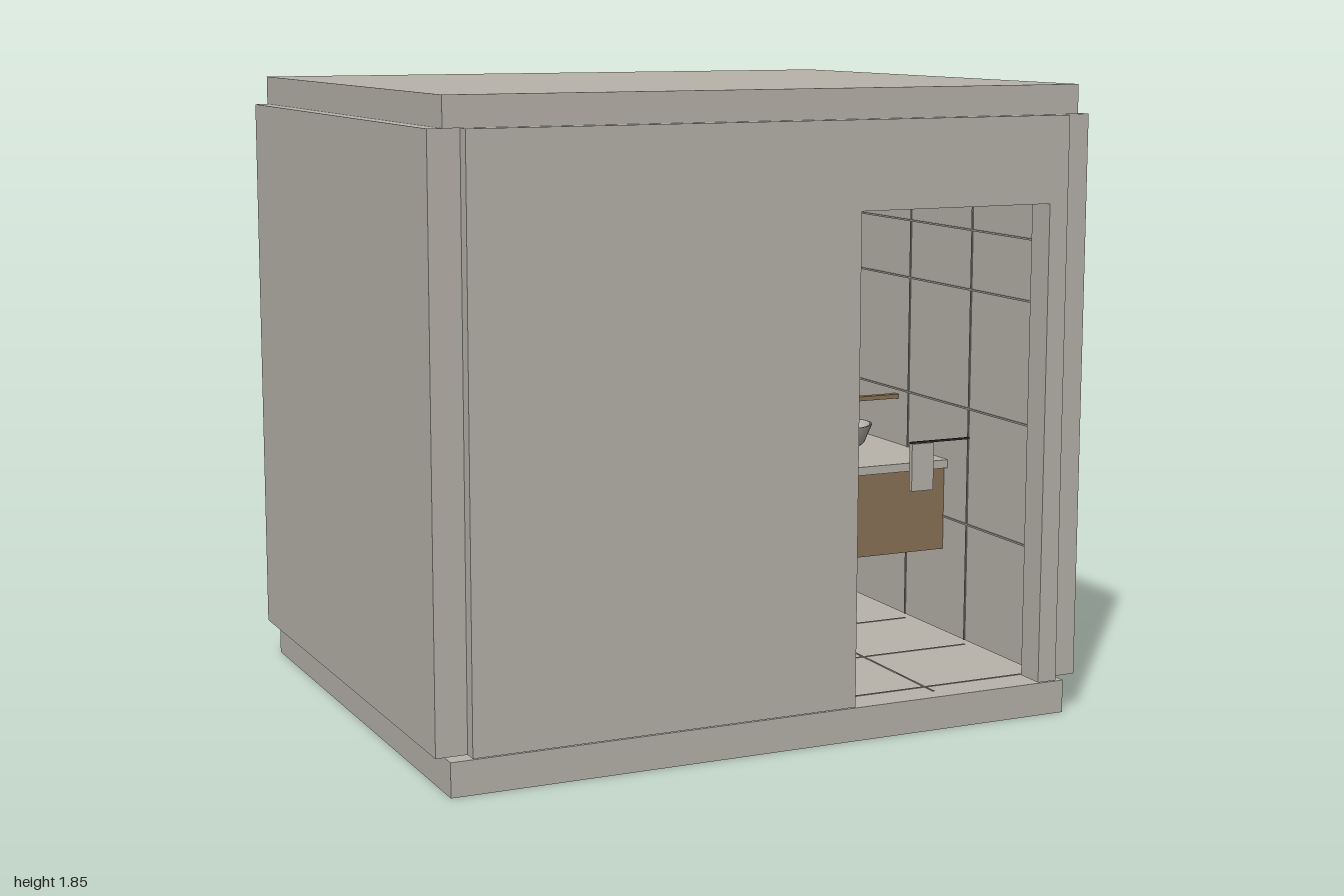
import * as THREE from 'three';

const mat = (name, color) => Object.assign(new THREE.MeshStandardMaterial({ color }), { name });

export function createModel() {
  const model = new THREE.Group();
  model.name = 'bathroomPod';
  const concrete = mat('concrete', 0xb8b4ab);
  const joint = mat('tileJoint', 0x98948c);
  const wood = mat('wood', 0x8b7256);
  const dark = mat('darkMetal', 0x2b2a28);
  const ceramic = mat('ceramic', 0xbab7b0);
  ceramic.side = THREE.DoubleSide;

  const add = (name, geometry, material, parent = model) => {
    const mesh = new THREE.Mesh(geometry, material);
    mesh.name = name;
    parent.add(mesh);
    return mesh;
  };
  // Box given by its lower and upper limits on each axis
  const box = (name, material, x0, x1, y0, y1, z0, z1, parent) => {
    const mesh = add(name, new THREE.BoxGeometry(x1 - x0, y1 - y0, z1 - z0), material, parent);
    mesh.position.set((x0 + x1) / 2, (y0 + y1) / 2, (z0 + z1) / 2);
    return mesh;
  };
  const corners = (x0, x1, y0, y1) => [[x0, y0], [x1, y0], [x1, y1], [x0, y1]].map(p => new THREE.Vector2(...p));

  // Slabs and side walls
  const bottom = 0.112, top = 1.765;
  box('floorSlab', concrete, -0.96, 0.96, 0, 0.098, -0.81, 0.81);
  box('roofSlab', concrete, -0.96, 0.96, top, 1.85, -0.81, 0.81);
  box('leftWall', concrete, 0.91, 1, bottom, top, -0.805, 0.805);
  box('rightWall', concrete, -1, -0.91, bottom, top, -0.805, 0.805);

  // Front wall with its doorway cut up from the bottom edge
  const extrude = shape => new THREE.ExtrudeGeometry(shape, { depth: 0.09, bevelEnabled: false });
  const frontShape = new THREE.Shape([
    [-0.91, bottom], [0.24, bottom], [0.24, 1.515], [0.85, 1.515], [0.85, bottom],
    [0.91, bottom], [0.91, top], [-0.91, top],
  ].map(p => new THREE.Vector2(...p)));
  add('frontWall', extrude(frontShape), concrete).position.z = 0.755;

  // Back wall with a recessed window
  const backShape = new THREE.Shape(corners(-0.91, 0.91, bottom, top));
  backShape.holes.push(new THREE.Path(corners(-0.79, -0.06, 1.2, 1.62).reverse()));
  add('backWall', extrude(backShape), concrete).position.z = -0.845;
  box('windowPane', concrete, -0.79, -0.06, 1.2, 1.62, -0.8, -0.792);

  // Tile joints on the floor and the walls
  const joints = new THREE.Group();
  joints.name = 'tileJoints';
  model.add(joints);
  const w = 0.003;
  for (let i = 1; i < 5; i++) {
    const x = 0.915 - i * 0.365, z = -0.755 + i * 0.365;
    box('floorJointAcross', joint, x - w, x + w, 0.097, 0.0995, -0.755, 0.755, joints);
    if (z < 0.75) {
      box('floorJointAlong', joint, -0.91, 0.91, 0.097, 0.0995, z - w, z + w, joints);
      for (const s of [-1, 1]) {
        box('sideJointUpright', joint, s * 0.909 - 0.002, s * 0.909 + 0.002, bottom, top, z - w, z + w, joints);
      }
    }
    box('backJointUpright', joint, x - w, x + w, bottom, x < -0.06 ? 1.2 : top, -0.757, -0.753, joints);
  }
  for (const y of [0.48, 0.843, 1.212, 1.395]) {
    const x0 = y > 1.2 ? -0.06 : -0.91;
    box('backJointLevel', joint, x0, 0.91, y - w, y + w, -0.757, -0.753, joints);
    for (const s of [-1, 1]) {
      box('sideJointLevel', joint, s * 0.909 - 0.002, s * 0.909 + 0.002, y - w, y + w, -0.755, 0.755, joints);
    }
  }

  // Vanity cabinet, counter and bowl
  const vanity = new THREE.Group();
  vanity.name = 'vanity';
  model.add(vanity);
  const vz = -0.1;
  box('cabinet', wood, 0.547, 0.91, 0.375, 0.635, vz - 0.3, vz + 0.3, vanity);
  for (const s of [-1, 1]) {
    const c = vz + s * 0.149;
    box('cabinetDoor', wood, 0.531, 0.547, 0.39, 0.622, c - 0.145, c + 0.145, vanity);
  }
  box('counter', concrete, 0.52, 0.91, 0.638, 0.664, vz - 0.32, vz + 0.32, vanity);
  const bowl = [[0, 0], [0.07, 0], [0.095, 0.02], [0.12, 0.08], [0.112, 0.08], [0.085, 0.025], [0, 0.012]];
  add('basin', new THREE.LatheGeometry(bowl.map(p => new THREE.Vector2(...p)), 32), ceramic, vanity)
    .position.set(0.682, 0.666, vz);

  // Wall tap with a turned-down tip
  box('tapSpout', wood, 0.697, 0.91, 0.813, 0.827, vz - 0.012, vz + 0.012, vanity);
  box('tapTip', wood, 0.697, 0.706, 0.797, 0.813, vz - 0.012, vz + 0.012, vanity);

  // Towel on a rail beside the vanity
  box('towelRail', dark, 0.7, 0.91, 0.75, 0.756, 0.34, 0.346);
  box('towel', concrete, 0.704, 0.78, 0.603, 0.75, 0.335, 0.351);

  // Wall-hung toilet with lid and flush button
  const toilet = new THREE.Group();
  toilet.name = 'toilet';
  model.add(toilet);
  const pan = [[0, 0], [0.06, 0], [0.1, 0.06], [0.122, 0.14], [0.122, 0.155], [0, 0.155]];
  const panMesh = add('toiletPan', new THREE.LatheGeometry(pan.map(p => new THREE.Vector2(...p)), 32), ceramic, toilet);
  panMesh.position.set(0.138, 0.262, -0.57);
  panMesh.scale.z = 1.5;
  const lid = add('toiletLid', new THREE.CylinderGeometry(0.115, 0.12, 0.012, 32), ceramic, toilet);
  lid.position.set(0.138, 0.423, -0.57);
  lid.scale.z = 1.5;
  const button = add('wallOutlet', new THREE.CylinderGeometry(0.031, 0.031, 0.015, 24), concrete, toilet);
  button.rotation.x = Math.PI / 2;
  button.position.set(0.425, 0.53, -0.748);

  // Shower floor plate in the back right corner
  box('showerPlate', dark, -0.91, -0.3, 0.108, 0.114, -0.755, -0.43);
  return model;
}
